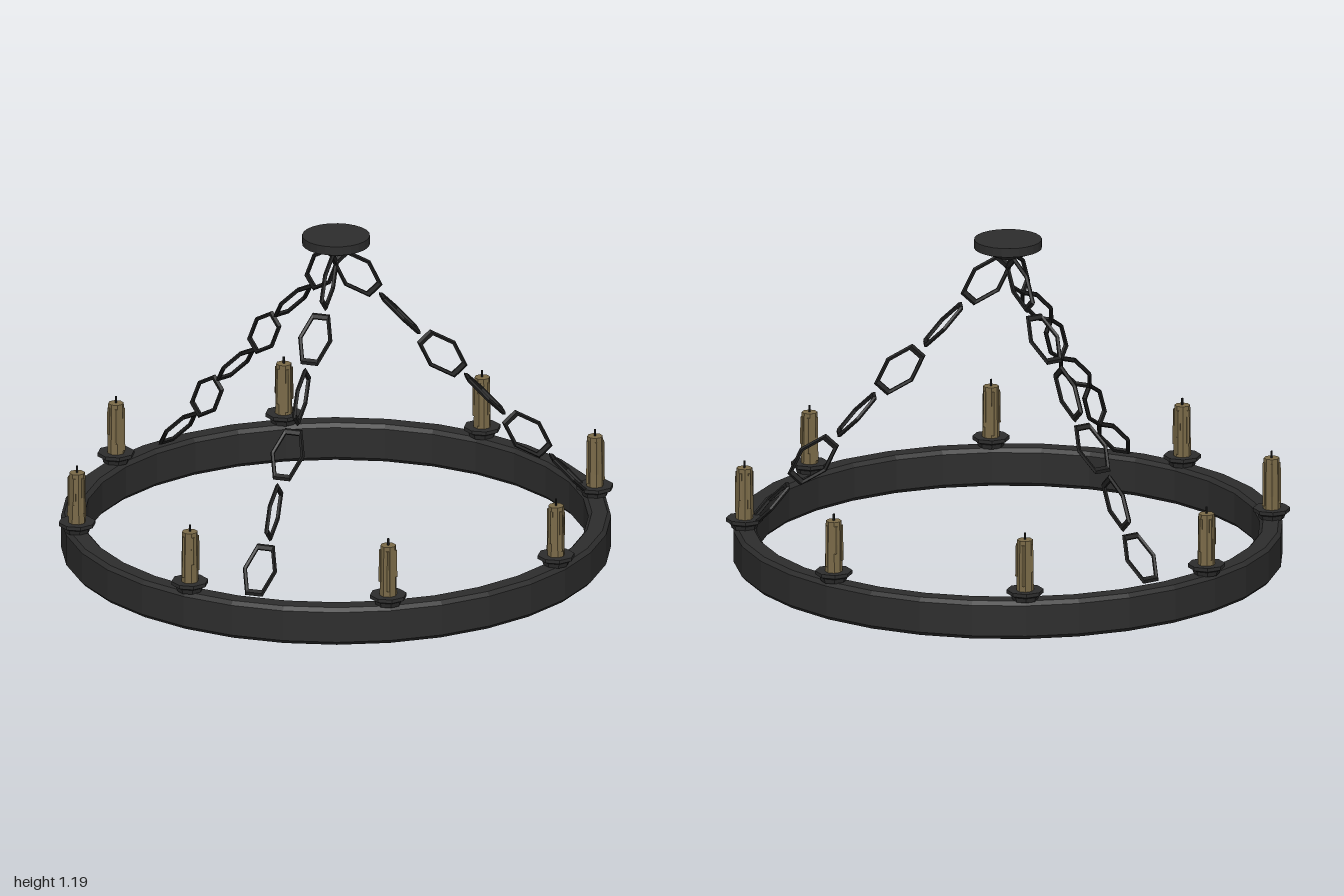
import * as THREE from 'three';

const flat = (name, color) => {
  const m = new THREE.MeshStandardMaterial({ color, flatShading: true });
  m.name = name;
  return m;
};
const lathe = (points, sides) =>
  new THREE.LatheGeometry(points.map(([x, y]) => new THREE.Vector2(x, y)), sides);

export function createModel() {
  const iron = flat('iron', 0x2d2d2d);
  const darkIron = flat('darkIron', 0x1e1e1e);
  const wax = flat('wax', 0x7a6a48);

  const root = new THREE.Group();
  root.name = 'chandelier';
  const add = (parent, name, geometry, material, x = 0, y = 0, z = 0) => {
    const mesh = new THREE.Mesh(geometry, material);
    mesh.name = name;
    mesh.position.set(x, y, z);
    parent.add(mesh);
    return mesh;
  };

  // Hoop with chamfered edges
  add(root, 'hoop', lathe([
    [0.905, 0], [0.96, 0], [0.973, 0.014], [0.973, 0.126], [0.96, 0.14],
    [0.905, 0.14], [0.892, 0.126], [0.892, 0.014], [0.905, 0],
  ], 32), iron);

  // Ceiling plate with a shallow cone below
  add(root, 'ceilingPlate', lathe([
    [0, 1.12], [0.035, 1.12], [0.118, 1.155], [0.12, 1.155], [0.12, 1.187], [0, 1.187],
  ], 24), iron);

  // Candles in cups, evenly spaced on the hoop
  const cupGeo = lathe([
    [0, 0.138], [0.045, 0.138], [0.05, 0.155], [0.066, 0.163], [0.066, 0.176], [0, 0.172],
  ], 8);
  const candleGeo = new THREE.CylinderGeometry(0.028, 0.031, 0.19, 8);
  const wickGeo = new THREE.CylinderGeometry(0.004, 0.004, 0.03, 5);
  const drips = [[0.3, 0.15], [1.6, 0.12], [2.9, 0.16], [4.1, 0.13], [5.3, 0.1]];
  for (let i = 0; i < 8; i++) {
    const a = (i * Math.PI) / 4;
    const holder = new THREE.Group();
    holder.name = 'candleHolder';
    holder.position.set(0.934 * Math.cos(a), 0, 0.934 * Math.sin(a));
    holder.rotation.y = -a;
    root.add(holder);
    add(holder, 'cup', cupGeo, iron);
    add(holder, 'candle', candleGeo, wax, 0, 0.265, 0);
    add(holder, 'wick', wickGeo, darkIron, 0, 0.37, 0);
    for (const [angle, length] of drips) {
      add(holder, 'waxDrip', new THREE.CylinderGeometry(0.006, 0.008, length, 5), wax,
        0.027 * Math.cos(angle), 0.345 - length / 2, 0.027 * Math.sin(angle));
    }
  }

  // Three chains of long six-sided links, each turned a quarter from the last
  const linkGeo = new THREE.TorusGeometry(0.056, 0.008, 5, 6);
  linkGeo.scale(1, 1.8, 1);
  const top = new THREE.Vector2(0, 1.12);
  const end = new THREE.Vector2(0.92, 0.14);
  const tilt = Math.atan2(end.x - top.x, top.y - end.y);
  const links = 6;
  for (let c = 0; c < 3; c++) {
    const chain = new THREE.Group();
    chain.name = 'chain';
    chain.rotation.y = (c * Math.PI * 2) / 3;
    root.add(chain);
    for (let i = 0; i < links; i++) {
      const p = top.clone().lerp(end, (i + 0.5) / links);
      const link = add(chain, 'chainLink', linkGeo, darkIron, p.x, p.y, 0);
      link.rotation.set(0, (i % 2) * Math.PI / 2, tilt, 'ZYX');
    }
  }
  return root;
}
